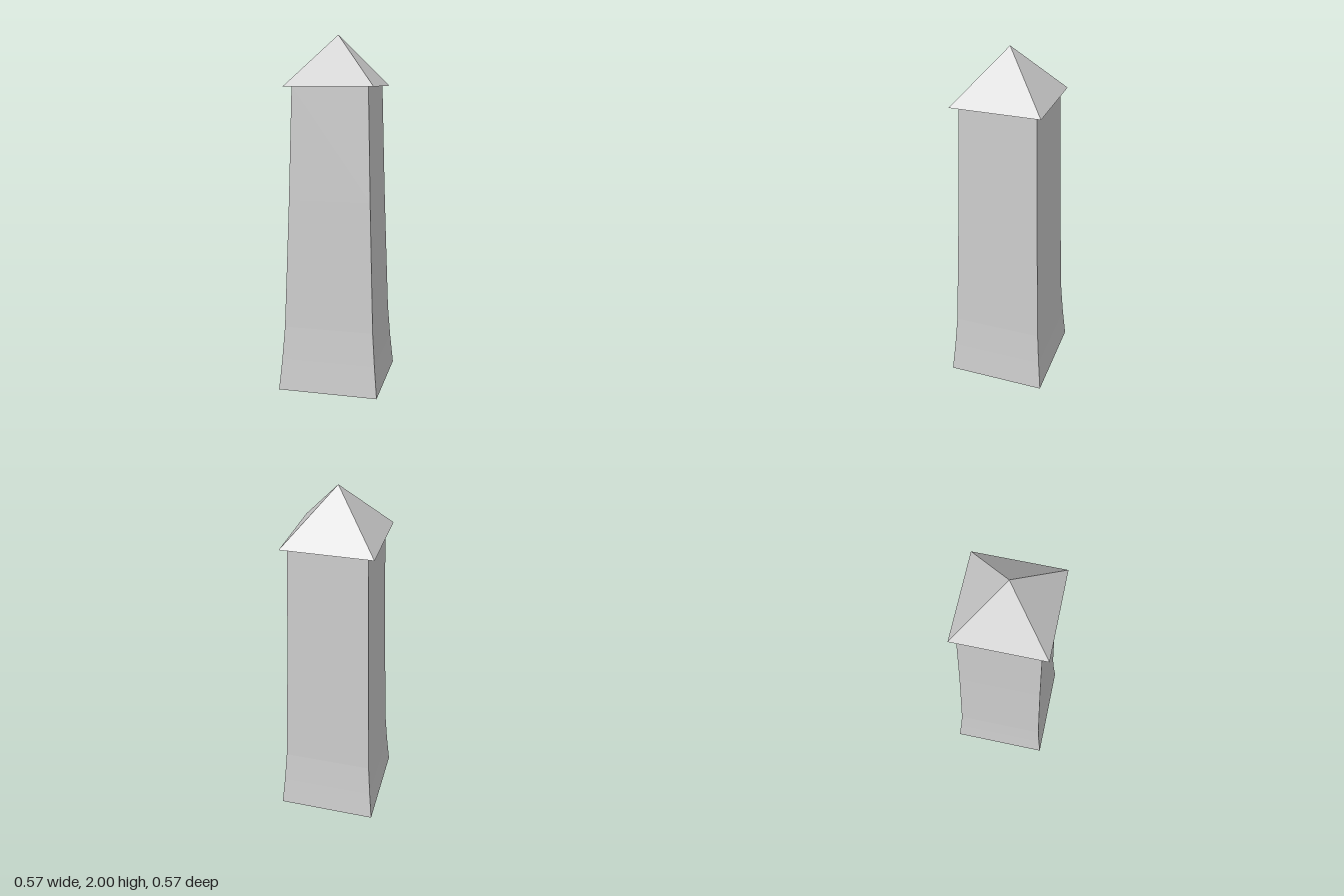
import * as THREE from 'three';

// Four-sided solid from a profile of [half width, height], bottom to top.
function squareLathe(name, profile, material) {
  const points = profile.map(([half, y]) => new THREE.Vector2(half * Math.SQRT2, y));
  const mesh = new THREE.Mesh(new THREE.LatheGeometry(points, 4, Math.PI / 4), material);
  mesh.name = name;
  return mesh;
}

export function createModel() {
  const group = new THREE.Group();
  group.name = 'tower';
  const material = new THREE.MeshStandardMaterial({ color: 0xcccccc, flatShading: true });

  // Tapering shaft with a flared foot and closed bottom
  const shaft = squareLathe('shaft', [
    [0, 0], [0.285, 0], [0.268, 0.18], [0.254, 0.37], [0.239, 0.8], [0.229, 1.1], [0.212, 1.72],
  ], material);

  // Overhanging pyramid roof with a flat underside, set slightly off centre
  const roof = squareLathe('roof', [[0, 1.72], [0.248, 1.72], [0, 2]], material);
  roof.position.set(-0.001, 0, 0.005);

  group.add(shaft, roof);
  return group;
}
